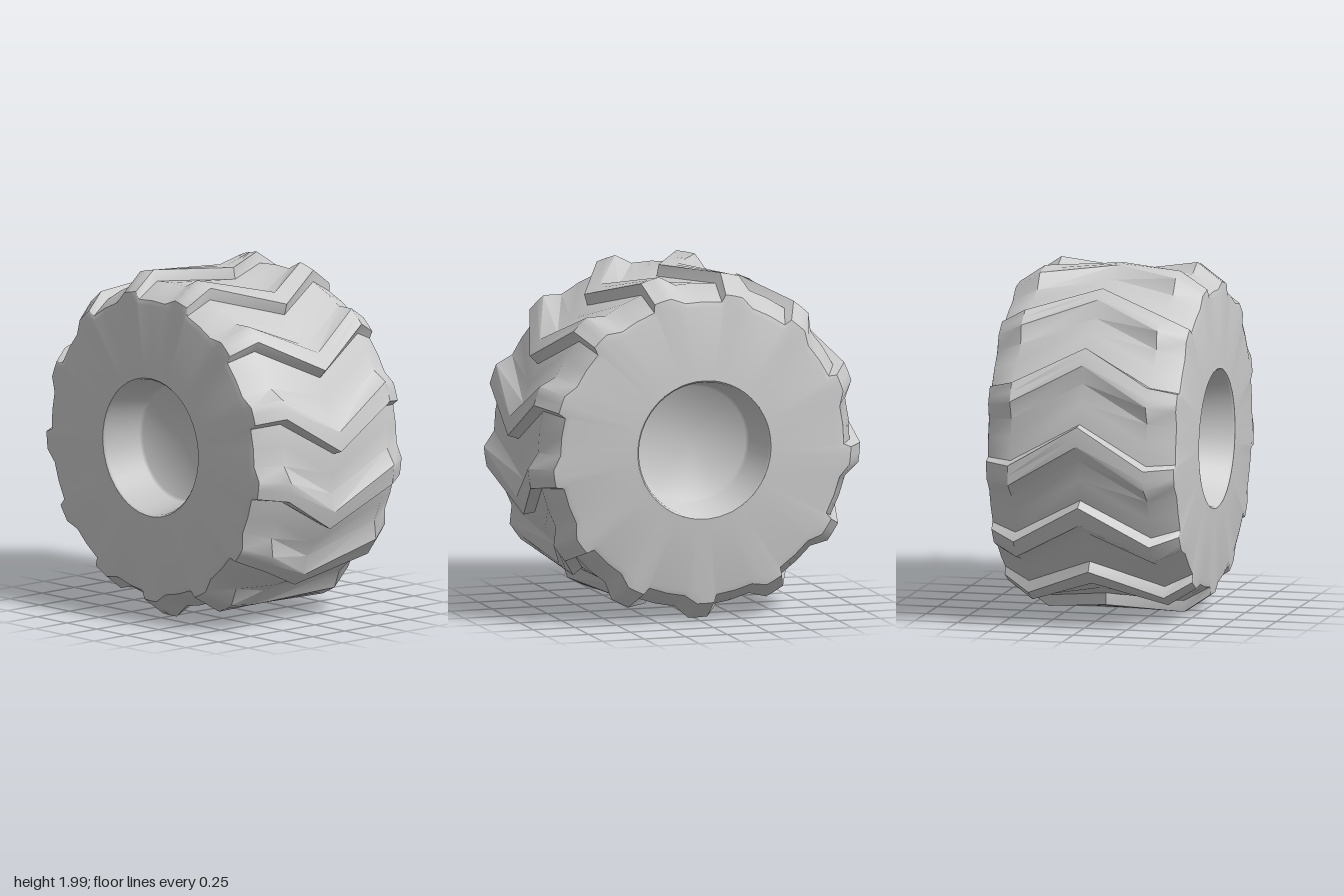
import * as THREE from 'three';
import { toCreasedNormals } from 'three/addons/utils/BufferGeometryUtils.js';

const LUGS = 13;
const PITCH = (Math.PI * 2) / LUGS;

// Half cross-section from the centre line out: x, groove radius, lug radius, chevron sweep
const HALF = [
  [0, 0.92, 0.985, 0],
  [0.4, 0.935, 1.0, -0.24],
  [0.553, 0.85, 0.895, -0.24],
  [0.562, 0.82, 0.825, -0.24],
  [0.58, 0.43, 0.43, -0.24],
  [0.583, 0.4, 0.4, -0.24],
];

// One lug around the wheel: angle, height (0 = groove, 1 = lug top)
const LUG = [[-0.25, 0], [-0.125, 0], [-0.035, 1], [0.02, 1], [0.08, 1], [0.1, 0]];

// Tyre skin: cross-section rows swept round the axle, with swept-back lugs
function tyreGeometry() {
  const mirrored = HALF.slice(1).reverse().map(([x, g, l, s]) => [-x, g, l, s]);
  const rows = [...mirrored, ...HALF];
  const cols = LUGS * LUG.length;
  const pos = [];
  const index = [];
  rows.forEach(([x, groove, top, sweep], i) => {
    // The tread sits very slightly off centre
    const px = Math.abs(x) < 0.57 ? x - 0.011 : x;
    for (let j = 0; j < cols; j++) {
      const [angle, h] = LUG[j % LUG.length];
      const a = Math.floor(j / LUG.length) * PITCH + angle + sweep;
      const r = groove + (top - groove) * h;
      pos.push(px, r * Math.cos(a), r * Math.sin(a));
      if (i < rows.length - 1) {
        const k = (j + 1) % cols;
        const p = i * cols + j, q = i * cols + k;
        index.push(p, q, p + cols, q, q + cols, p + cols);
      }
    }
  });
  const geo = new THREE.BufferGeometry();
  geo.setAttribute('position', new THREE.Float32BufferAttribute(pos, 3));
  geo.setIndex(index);
  return toCreasedNormals(geo, 0.7);
}

// Dished hub: tapered wall down to a flat disc
function hubGeometry() {
  const profile = [[0.402, 0.583], [0.39, 0.57], [0.345, 0.35], [0.33, 0.335], [0, 0.335]];
  const geo = new THREE.LatheGeometry(profile.map(([r, y]) => new THREE.Vector2(r, y)), 40);
  return toCreasedNormals(geo, 0.9);
}

export function createModel() {
  const wheel = new THREE.Group();
  wheel.name = 'wheel';
  const material = new THREE.MeshStandardMaterial({ color: 0xcccccc });
  const hubMaterial = new THREE.MeshStandardMaterial({ color: 0xcccccc, side: THREE.DoubleSide });

  const tyre = new THREE.Mesh(tyreGeometry(), material);
  tyre.name = 'tyre';
  wheel.add(tyre);

  // A recessed hub on each side
  const hub = hubGeometry();
  for (const side of [1, -1]) {
    const mesh = new THREE.Mesh(hub, hubMaterial);
    mesh.name = side > 0 ? 'leftHub' : 'rightHub';
    mesh.rotation.z = -side * Math.PI / 2;
    wheel.add(mesh);
  }

  wheel.position.y = 1;
  const model = new THREE.Group();
  model.name = 'tractorWheel';
  model.add(wheel);
  return model;
}
